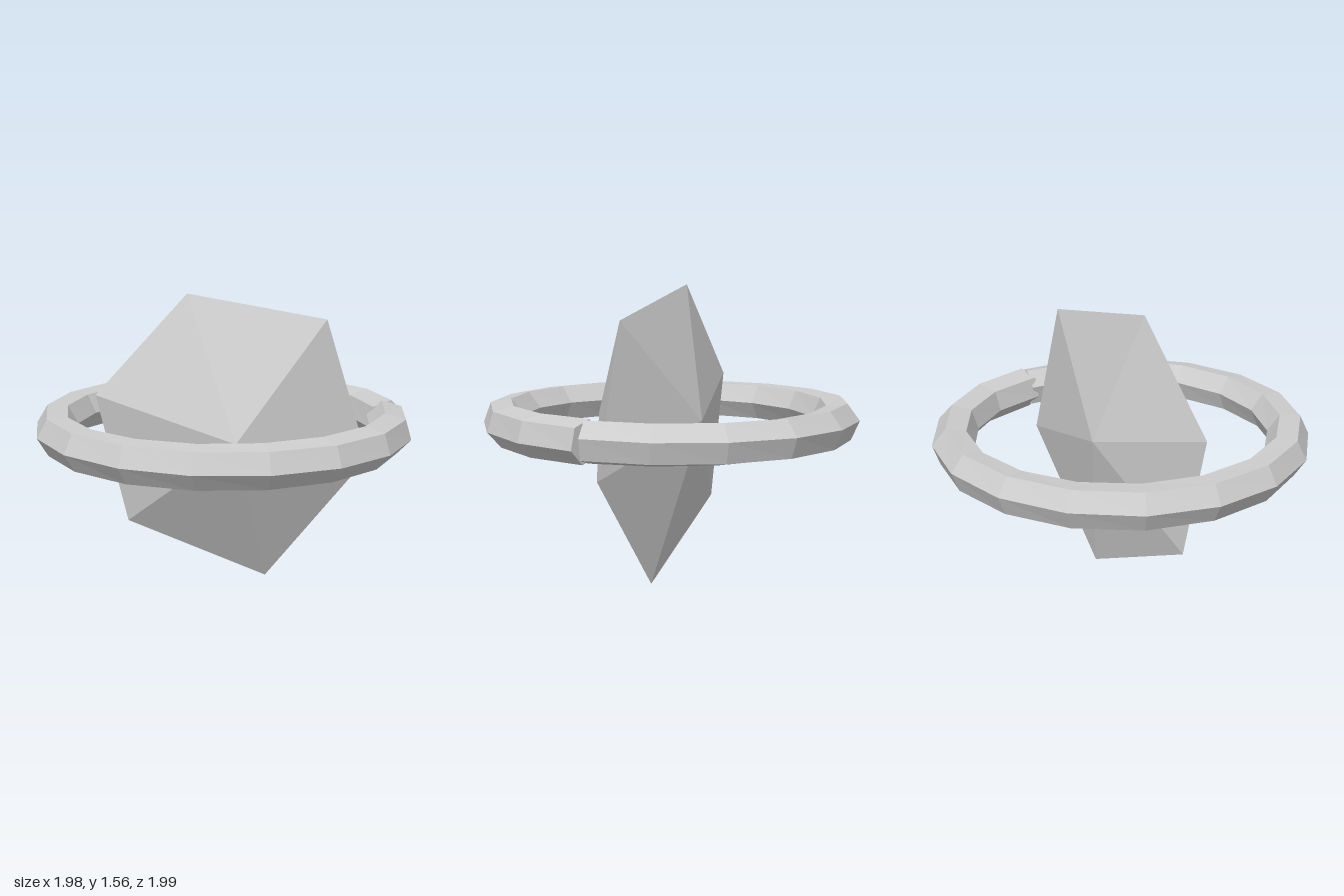
import * as THREE from 'three';

// Non-indexed geometry from points and triangles, so every facet stays flat
function facets(points, triangles) {
  const g = new THREE.BufferGeometry().setFromPoints(triangles.flat().map((i) => points[i]));
  g.computeVertexNormals();
  return g;
}

// Lopsided hexagonal bipyramid: a flat outline joined to a front and a back apex
function crystalGeometry() {
  const outline = [[-0.2, 1.56], [0.545, 1.41], [0.78, 0.645], [0.22, 0], [-0.525, 0.345], [-0.685, 1.035]];
  const points = outline.map(([x, y]) => new THREE.Vector3(x, y, 0));
  points.push(new THREE.Vector3(-0.005, 0.855, 0.44), new THREE.Vector3(-0.005, 0.855, -0.187));
  const triangles = [];
  for (let i = 0; i < 6; i++) {
    const j = (i + 1) % 6;
    triangles.push([j, i, 6], [i, j, 7]);
  }
  return facets(points, triangles);
}

// Hexagonal tube bent into a circle, slowly rolling, with a slit at its ends
function ringGeometry() {
  const segments = 17, sides = 6, radius = 0.89, tube = 0.111;
  const step = (Math.PI * 2) / segments, roll = 0.28;
  const points = [], triangles = [];
  for (let i = 0; i <= segments; i++) {
    const a = i * step;
    // The two end sections are cut square to their own segment
    const cut = a + (i === 0 ? step / 2 : i === segments ? -step / 2 : 0);
    for (let k = 0; k < sides; k++) {
      const phi = (k / sides) * Math.PI * 2 + roll * (1 - (2 * i) / segments);
      const out = tube * Math.cos(phi);
      points.push(new THREE.Vector3(
        radius * Math.cos(a) + out * Math.cos(cut) - 0.01,
        0.856 + tube * Math.sin(phi),
        -radius * Math.sin(a) - out * Math.sin(cut)
      ));
    }
  }
  for (let i = 0; i < segments; i++) {
    for (let k = 0; k < sides; k++) {
      const p = i * sides + k, q = i * sides + ((k + 1) % sides);
      triangles.push([p, p + sides, q], [q, p + sides, q + sides]);
    }
  }
  // End caps
  const last = segments * sides;
  for (let k = 1; k < sides - 1; k++) {
    triangles.push([0, k, k + 1], [last, last + k + 1, last + k]);
  }
  return facets(points, triangles);
}

export function createModel() {
  const grey = new THREE.MeshStandardMaterial({ color: 0xcccccc });
  grey.name = 'light grey';

  const crystal = new THREE.Mesh(crystalGeometry(), grey);
  crystal.name = 'crystal';
  const ring = new THREE.Mesh(ringGeometry(), grey);
  ring.name = 'ring';

  const model = new THREE.Group();
  model.name = 'ringedCrystal';
  model.add(crystal, ring);
  return model;
}
